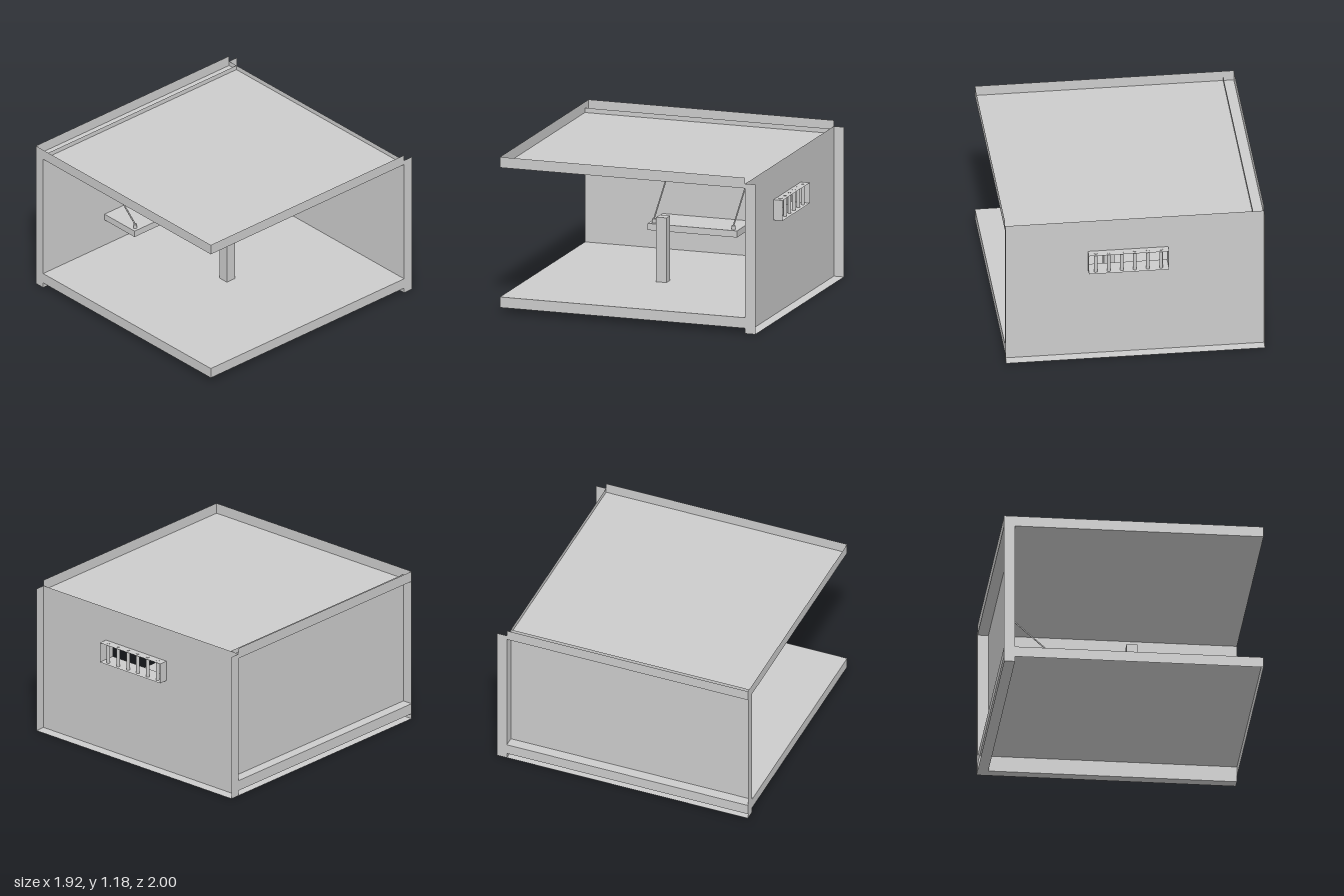
import * as THREE from 'three';

const material = new THREE.MeshStandardMaterial({ color: 0xcccccc, side: THREE.DoubleSide });

function add(parent, name, geometry) {
  const mesh = new THREE.Mesh(geometry, material);
  mesh.name = name;
  parent.add(mesh);
  return mesh;
}

function box(parent, name, [x0, x1], [y0, y1], [z0, z1]) {
  const mesh = add(parent, name, new THREE.BoxGeometry(x1 - x0, y1 - y0, z1 - z0));
  mesh.position.set((x0 + x1) / 2, (y0 + y1) / 2, (z0 + z1) / 2);
  return mesh;
}

// Thin sheet: the range that is a single number is the axis it faces
function sheet(parent, name, x, y, z) {
  const size = (r) => r[1] - r[0];
  const mid = (r) => (Array.isArray(r) ? (r[0] + r[1]) / 2 : r);
  let g;
  if (!Array.isArray(x)) g = new THREE.PlaneGeometry(size(z), size(y)).rotateY(Math.PI / 2);
  else if (!Array.isArray(y)) g = new THREE.PlaneGeometry(size(x), size(z)).rotateX(-Math.PI / 2);
  else g = new THREE.PlaneGeometry(size(x), size(y));
  add(parent, name, g).position.set(mid(x), mid(y), mid(z));
}

function rectangle(Type, [x0, x1], [y0, y1]) {
  const p = new Type();
  p.moveTo(x0, y0).lineTo(x1, y0).lineTo(x1, y1).lineTo(x0, y1).closePath();
  return p;
}

function rod(parent, name, from, to, radius, sides) {
  const dir = to.clone().sub(from);
  const mesh = add(parent, name, new THREE.CylinderGeometry(radius, radius, dir.length(), sides));
  mesh.position.copy(from).add(to).multiplyScalar(0.5);
  mesh.quaternion.setFromUnitVectors(new THREE.Vector3(0, 1, 0), dir.normalize());
}

function createModel() {
  const model = new THREE.Group();
  model.name = 'cellRoom';
  const group = (name) => {
    const g = new THREE.Group();
    g.name = name;
    model.add(g);
    return g;
  };
  const X = [-0.96, 0.96], Z = [-0.92, 1];
  const holeX = [-0.25, 0.345], holeY = [0.72, 0.875];

  // Floor and ceiling: a sheet with rims on three sides, open outwards
  for (const [name, level, rim] of [['floor', 0.12, [0.04, 0.12]], ['ceiling', 1.1, [1.1, 1.18]]]) {
    const slab = group(name);
    sheet(slab, name + 'Sheet', X, level, Z);
    sheet(slab, name + 'FrontRim', X, rim, 1);
    for (const x of X) sheet(slab, name + 'SideRim', x, rim, Z);
  }

  // Side wall, open outwards
  const side = group('sideWall');
  sheet(side, 'sideWallSheet', -0.88, [0, 1.135], Z);
  sheet(side, 'sideWallFrontRim', [-0.96, -0.88], [0, 1.135], 1);
  sheet(side, 'sideWallBottomRim', [-0.96, -0.88], 0, Z);

  // Back wall with window opening, open outwards and at the top
  const back = group('backWall');
  const wallShape = rectangle(THREE.Shape, X, [0, 1.135]);
  wallShape.holes.push(rectangle(THREE.Path, holeX, holeY));
  add(back, 'backWallSheet', new THREE.ShapeGeometry(wallShape)).position.z = -0.92;
  sheet(back, 'backWallBottomRim', X, 0, [-1, -0.92]);
  for (const x of X) sheet(back, 'backWallEndRim', x, [0, 1.135], [-1, -0.92]);

  // Barred window: inner frame, outer reveal and bars
  const win = group('window');
  const frame = rectangle(THREE.Shape, [-0.285, 0.38], [0.68, 0.91]);
  frame.holes.push(rectangle(THREE.Path, holeX, holeY));
  add(win, 'windowFrame', new THREE.ExtrudeGeometry(frame, { depth: 0.075, bevelEnabled: false }))
    .position.z = -0.92;
  for (const x of holeX) sheet(win, 'windowRevealSide', x, holeY, [-0.99, -0.92]);
  for (const y of holeY) sheet(win, 'windowReveal', holeX, y, [-0.99, -0.92]);
  for (let i = 0; i < 6; i++) {
    const x = -0.193 + i * 0.0968;
    rod(win, 'windowBar', new THREE.Vector3(x, 0.718, -0.955), new THREE.Vector3(x, 0.877, -0.955), 0.013, 16);
  }

  // Wall bunk hung from two stays
  const bunk = group('bunk');
  box(bunk, 'bunkBoard', [-0.88, -0.55], [0.335, 0.385], [-0.31, 0.39]);
  for (const z of [0.353, -0.27]) {
    const v = (x, y) => new THREE.Vector3(x, y, z);
    rod(bunk, 'wallAnchor', v(-0.88, 0.66), v(-0.85, 0.66), 0.014, 12);
    rod(bunk, 'boardAnchor', v(-0.585, 0.385), v(-0.585, 0.415), 0.014, 12);
    rod(bunk, 'stay', v(-0.86, 0.663), v(-0.58, 0.41), 0.006, 8);
  }

  // Post standing on the floor
  box(model, 'post', [0.04, 0.12], [0.12, 0.61], [0, 0.08]);

  // Bucket with rounded bottom and hollow inside
  const profile = [[0, 0], [0.035, 0], [0.047, 0.005], [0.055, 0.016], [0.06, 0.035], [0.064, 0.075],
    [0.065, 0.11], [0.058, 0.11], [0.056, 0.07], [0.05, 0.03], [0.035, 0.014], [0, 0.012]]
    .map(([r, y]) => new THREE.Vector2(r, y));
  add(model, 'bucket', new THREE.LatheGeometry(profile, 32)).position.set(-0.778, 0.12, -0.755);

  return model;
}

export { createModel };
